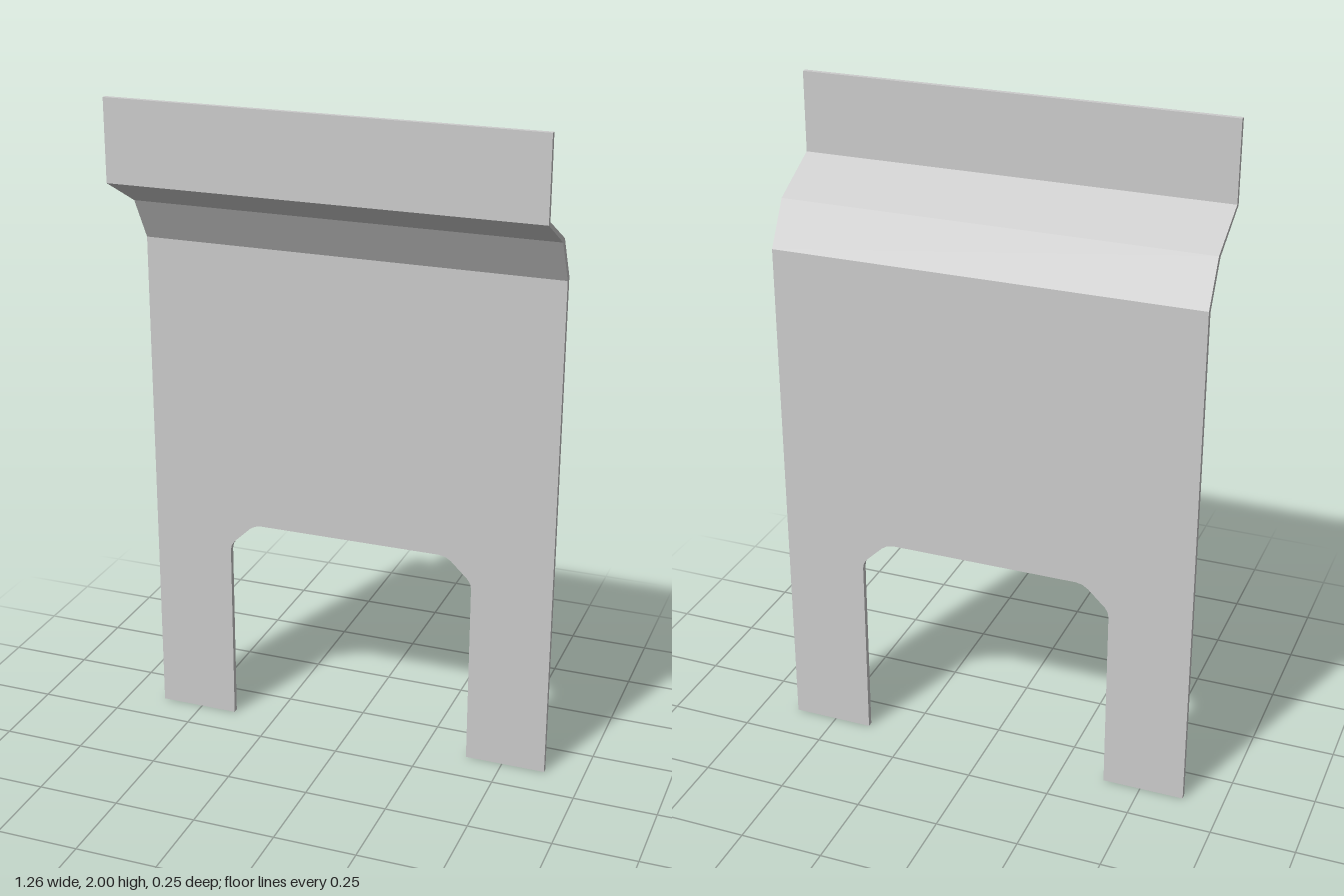
import * as THREE from 'three';

const HALF_WIDTH = 0.632;
const BACK = -0.127, FRONT = -0.11, BEND_Y = 1.545;

const shapeFrom = (points) => new THREE.Shape(points.map(([x, y]) => new THREE.Vector2(x, y)));

const extrude = (points, depth) =>
  new THREE.ExtrudeGeometry(shapeFrom(points), { depth, bevelEnabled: false });

export function createModel() {
  const group = new THREE.Group();
  group.name = 'bentSheetPanel';
  const material = new THREE.MeshStandardMaterial({ color: 0xcccccc, flatShading: true });

  const add = (name, geometry) => {
    const mesh = new THREE.Mesh(geometry, material);
    mesh.name = name;
    group.add(mesh);
  };

  // Flat panel: two legs around a notch with softened corners; half outline, mirrored
  const half = [
    [HALF_WIDTH, BEND_Y], [HALF_WIDTH, 0], [0.386, 0], [0.386, 0.572],
    [0.383, 0.588], [0.374, 0.602], [0.322, 0.652], [0.305, 0.663], [0.285, 0.667],
  ];
  const outline = [...half, ...half.map(([x, y]) => [-x, y]).reverse()];
  const panel = extrude(outline, FRONT - BACK);
  panel.translate(0, 0, BACK);
  add('notchedPanel', panel);

  // Folded top: side profile (z, y) swept across the width
  const profile = [
    [FRONT, BEND_Y], [-0.037, 1.672], [0.127, 1.76], [0.127, 2],
    [0.112, 2], [0.112, 1.766], [-0.054, 1.68], [BACK, 1.553], [BACK, BEND_Y],
  ];
  const fold = extrude(profile, HALF_WIDTH * 2);
  fold.translate(0, 0, -HALF_WIDTH);
  fold.rotateY(-Math.PI / 2);
  add('foldedTopFlange', fold);

  return group;
}
